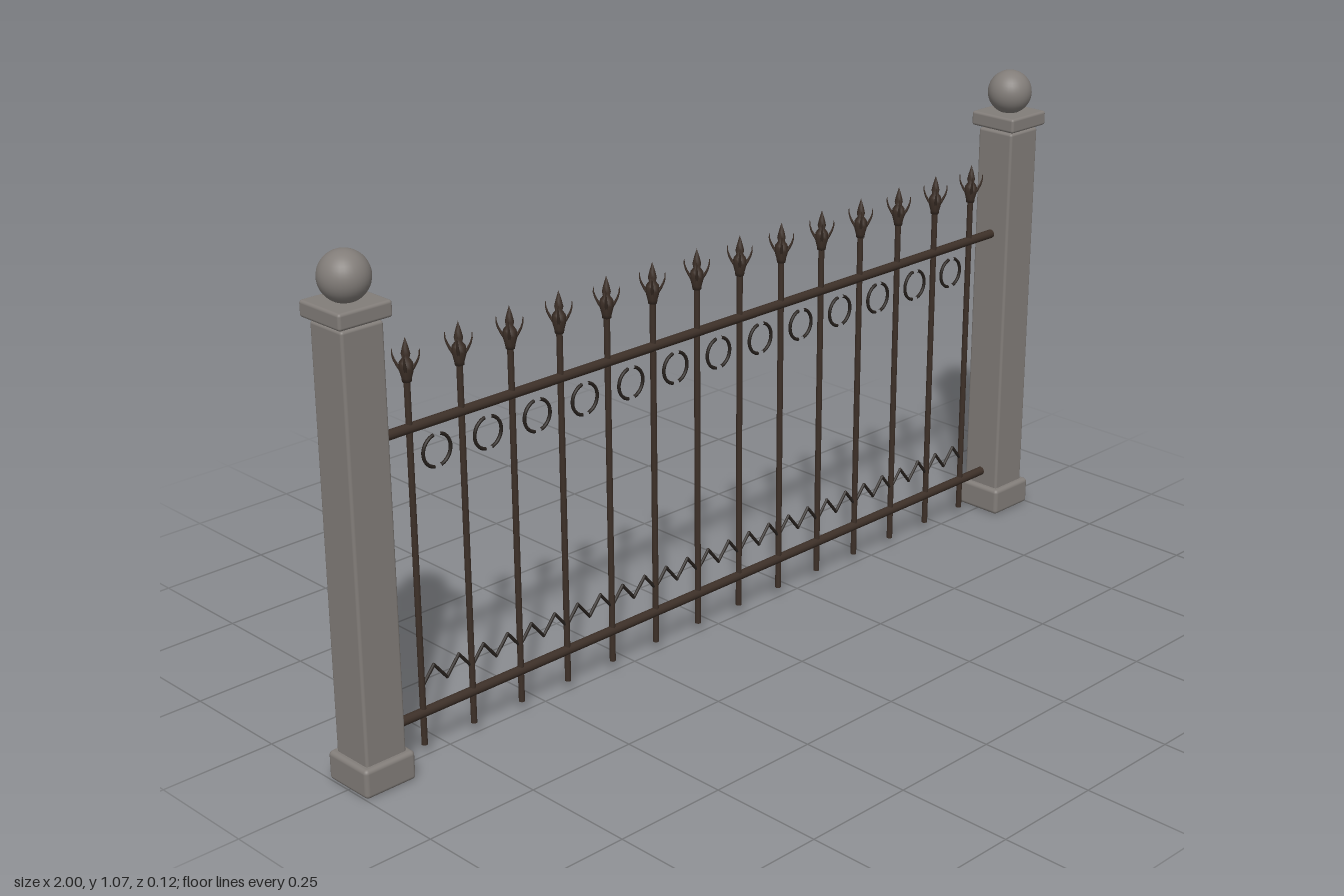
import * as THREE from 'three';
import { RoundedBoxGeometry } from 'three/addons/geometries/RoundedBoxGeometry.js';

const mat = (name, color) => Object.assign(new THREE.MeshStandardMaterial({ color }), { name });

export function createModel() {
  const stone = mat('grey stone', 0x827d79);
  const iron = mat('rusty iron', 0x3d3028);
  const darkIron = mat('dark iron', 0x27211d);
  const fence = new THREE.Group();
  fence.name = 'fence';

  const add = (parent, name, geometry, material, x = 0, y = 0, z = 0) => {
    const mesh = new THREE.Mesh(geometry, material);
    mesh.name = name;
    mesh.position.set(x, y, z);
    parent.add(mesh);
    return mesh;
  };
  const block = (w, y0, y1, r) => new RoundedBoxGeometry(w, y1 - y0, w, 3, r).translate(0, (y0 + y1) / 2, 0);

  // Stone pillars: footing, shaft, cap slab and ball
  const base = block(0.12, 0, 0.062, 0.009);
  const shaft = block(0.095, 0.055, 0.937, 0.006);
  const cap = block(0.12, 0.943, 0.976, 0.006);
  const ball = new THREE.SphereGeometry(0.05, 32, 20);
  for (const side of [-1, 1]) {
    const pillar = new THREE.Group();
    pillar.name = side > 0 ? 'leftPillar' : 'rightPillar';
    pillar.position.x = side * 0.94;
    add(pillar, 'pillarBase', base, stone);
    add(pillar, 'pillarShaft', shaft, stone);
    add(pillar, 'pillarCap', cap, stone);
    add(pillar, 'pillarBall', ball, stone, 0, 1.021);
    fence.add(pillar);
  }

  // Horizontal rails
  const rail = new THREE.CylinderGeometry(0.01, 0.01, 1.8, 12).rotateZ(Math.PI / 2);
  add(fence, 'lowerRail', rail, iron, 0, 0.095);
  add(fence, 'upperRail', rail, iron, 0, 0.692);

  // Pickets with a spear point and four curved barbs
  const bar = new THREE.CylinderGeometry(0.0065, 0.0065, 0.765, 10).translate(0, 0.4075, 0);
  const spear = new THREE.LatheGeometry(
    [[0, 0.783], [0.009, 0.785], [0.01, 0.793], [0.015, 0.812], [0.013, 0.824], [0.007, 0.832],
      [0.009, 0.84], [0.006, 0.853], [0, 0.873]].map(([r, y]) => new THREE.Vector2(r, y)), 8);
  const barb = (() => {
    // Tapered blade that bends outward and ends in a point
    const g = new THREE.CylinderGeometry(0.0008, 0.0042, 0.046, 6, 4);
    const p = g.attributes.position;
    for (let i = 0; i < p.count; i++) {
      const t = p.getY(i) / 0.046 + 0.5;
      p.setX(i, p.getX(i) + 0.009 + 0.017 * Math.sin(t * 1.75));
      p.setY(i, 0.806 + t * 0.044);
    }
    g.computeVertexNormals();
    return g;
  })();
  const count = 14, step = 0.125, first = -step * (count - 1) / 2;
  for (let i = 0; i < count; i++) {
    const picket = new THREE.Group();
    picket.name = 'picket';
    picket.position.x = first + i * step;
    add(picket, 'picketBar', bar, iron);
    add(picket, 'spearPoint', spear, iron);
    for (let k = 0; k < 4; k++) add(picket, 'barb', barb, iron).rotation.y = Math.PI / 4 + k * Math.PI / 2;
    fence.add(picket);
  }

  // Split rings hung between the pickets
  const arc = new THREE.TorusGeometry(0.033, 0.0036, 8, 20, Math.PI * 0.86).rotateZ(-Math.PI * 0.43);
  for (let i = 0; i < count - 1; i++) {
    const ring = new THREE.Group();
    ring.name = 'splitRing';
    ring.position.set(first + (i + 0.5) * step, 0.63, 0);
    add(ring, 'ringHalf', arc, darkIron);
    add(ring, 'ringHalf', arc, darkIron).rotation.z = Math.PI;
    fence.add(ring);
  }

  // Zigzag wire above the lower rail, two peaks to a bay
  const run = step / 4, rise = 0.038;
  const wire = new THREE.CylinderGeometry(0.0035, 0.0035, Math.hypot(run, rise) + 0.003, 6);
  for (let i = 0; i < (count - 1) * 4; i++) {
    const dir = i % 2 ? 1 : -1;
    add(fence, 'zigzagWire', wire, darkIron, first + (i + 0.5) * run, 0.169).rotation.z = dir * Math.atan2(run, rise);
  }
  return fence;
}
